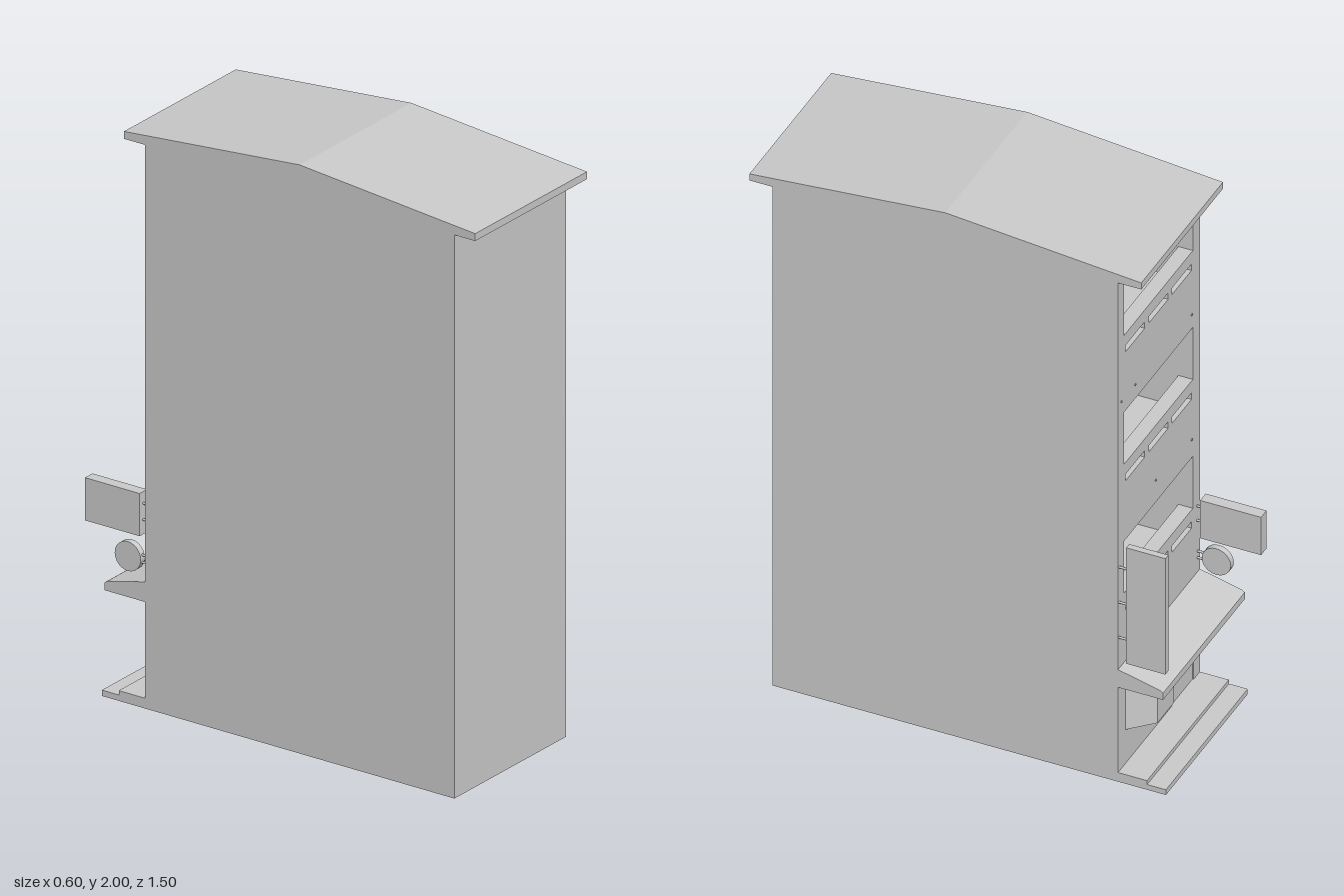
import * as THREE from 'three';

const X0 = -0.3, X1 = 0.293;      // side walls
const ZF = -0.52, ZB = 0.67;      // street facade and rear wall
const EAVE = 1.915, WALL = 0.05;  // eaves height, facade thickness
const mat = new THREE.MeshStandardMaterial({ color: 0xcccccc, side: THREE.DoubleSide });

export function createModel() {
  const model = new THREE.Group();

  const add = (name, geometry, parent = model) => {
    const mesh = new THREE.Mesh(geometry, mat);
    mesh.name = name;
    parent.add(mesh);
    return mesh;
  };
  // Box from its minimum and maximum corners
  const box = (name, x0, x1, y0, y1, z0, z1, parent) => {
    const m = add(name, new THREE.BoxGeometry(x1 - x0, y1 - y0, z1 - z0), parent);
    m.position.set((x0 + x1) / 2, (y0 + y1) / 2, (z0 + z1) / 2);
    return m;
  };
  // Cylinder along x ('x') or z ('z')
  const rod = (name, axis, r, len, x, y, z, sides = 8, parent) => {
    const g = new THREE.CylinderGeometry(r, r, len, sides);
    if (axis === 'x') g.rotateZ(Math.PI / 2); else g.rotateX(Math.PI / 2);
    add(name, g, parent).position.set(x, y, z);
  };
  // Profile of (z, y) points swept across the width
  const sweep = (name, pts, x0, x1) => {
    const shape = new THREE.Shape(pts.map(([z, y]) => new THREE.Vector2(-z, y)));
    const g = new THREE.ExtrudeGeometry(shape, { depth: x1 - x0, bevelEnabled: false });
    g.rotateY(Math.PI / 2);
    add(name, g).position.x = x0;
  };
  const rect = (Type, x0, x1, y0, y1) => new Type([[x0, y0], [x1, y0], [x1, y1], [x0, y1]]
    .map(([x, y]) => new THREE.Vector2(x, y)));

  // Hollow shell, open underneath
  box('sideWallRight', X0, X0 + 0.01, 0, EAVE, ZF + WALL, ZB);
  box('sideWallLeft', X1 - 0.01, X1, 0, EAVE, ZF + WALL, ZB);
  box('rearWall', X0 + 0.01, X1 - 0.01, 0, EAVE, ZB - 0.01, ZB);

  // Street facade with window, vent and door openings
  const facade = rect(THREE.Shape, X0, X1, 0, EAVE);
  const floors = [0.695, 1.19, 1.685];
  for (const sill of floors) {
    facade.holes.push(rect(THREE.Path, -0.25, 0.25, sill, sill + 0.2));
    for (const cx of [-0.17, 0, 0.17])
      facade.holes.push(rect(THREE.Path, cx - 0.07, cx + 0.07, sill - 0.07, sill - 0.045));
  }
  facade.holes.push(rect(THREE.Path, -0.255, -0.1, 0.035, 0.34));
  add('facade', new THREE.ExtrudeGeometry(facade, { depth: WALL, bevelEnabled: false })).position.z = ZF;

  // Balcony rooms behind each opening
  for (const sill of floors) {
    const room = new THREE.Group();
    room.name = 'balconyRoom';
    model.add(room);
    const y0 = sill - 0.12, y1 = sill + 0.2, z0 = ZF + WALL, z1 = ZF + 0.25, t = 0.01;
    box('roomFloor', -0.25, 0.25, y0 - t, y0, z0, z1, room);
    box('roomCeiling', -0.25, 0.25, y1, y1 + t, z0, z1, room);
    box('roomBack', -0.25, 0.25, y0, y1, z1, z1 + t, room);
    for (const s of [-1, 1])
      box('roomSide', s * 0.255 - 0.005, s * 0.255 + 0.005, y0, y1, z0, z1, room);
  }

  // Small bolts on the facade
  for (const [x, y] of [[0.27, 1.445], [0.17, 1.445], [-0.24, 1.445], [0.02, 0.98], [-0.24, 0.965]])
    rod('bolt', 'z', 0.004, 0.006, x, y, ZF);

  // Door leaf with two glazed panels
  const leaf = rect(THREE.Shape, -0.255, -0.1, 0.035, 0.34);
  for (const x of [-0.235, -0.165])
    leaf.holes.push(rect(THREE.Path, x, x + 0.045, 0.2, 0.31));
  add('doorLeaf', new THREE.ExtrudeGeometry(leaf, { depth: 0.01, bevelEnabled: false })).position.z = ZF + 0.004;
  box('doorGlass', -0.255, -0.1, 0.035, 0.34, ZF + 0.02, ZF + 0.03);
  rod('doorHandle', 'z', 0.006, 0.015, -0.125, 0.15, ZF);

  // Shop bay window with splayed sides
  const bay = new THREE.Shape([[0.24, ZF], [0.165, -0.595], [0.045, -0.595], [-0.03, ZF]]
    .map(([x, z]) => new THREE.Vector2(x, -z)));
  const bayGeo = new THREE.ExtrudeGeometry(bay, { depth: 0.185, bevelEnabled: false });
  bayGeo.rotateX(-Math.PI / 2);
  add('bayWindow', bayGeo).position.y = 0.165;

  // Awning, steps and roof
  sweep('awning', [[ZF, 0.362], [ZF, 0.43], [-0.665, 0.395], [-0.675, 0.388], [-0.675, 0.362]], X0, X1);
  sweep('steps', [[ZF, 0], [ZF, 0.035], [-0.62, 0.035], [-0.62, 0.02], [-0.685, 0.02], [-0.685, 0]], X0, X1);
  sweep('roof', [[0.75, EAVE], [0.75, 1.94], [0.075, 2], [-0.6, 1.94], [-0.6, EAVE]], X0, X1);

  // Projecting signs on wall pegs
  box('tallSign', 0.275, 0.297, 0.465, 0.91, -0.685, -0.55);
  for (const y of [0.55, 0.685, 0.82]) rod('signPeg', 'z', 0.004, 0.04, 0.286, y, -0.535);
  box('boxSign', X0, -0.26, 0.58, 0.725, -0.75, -0.54);
  for (const y of [0.63, 0.685]) rod('signPeg', 'z', 0.004, 0.03, -0.28, y, -0.53);
  rod('roundSign', 'x', 0.05, 0.022, -0.283, 0.497, -0.59, 24);
  for (const y of [0.485, 0.51]) rod('signPeg', 'z', 0.004, 0.04, -0.283, y, -0.535);

  return model;
}
